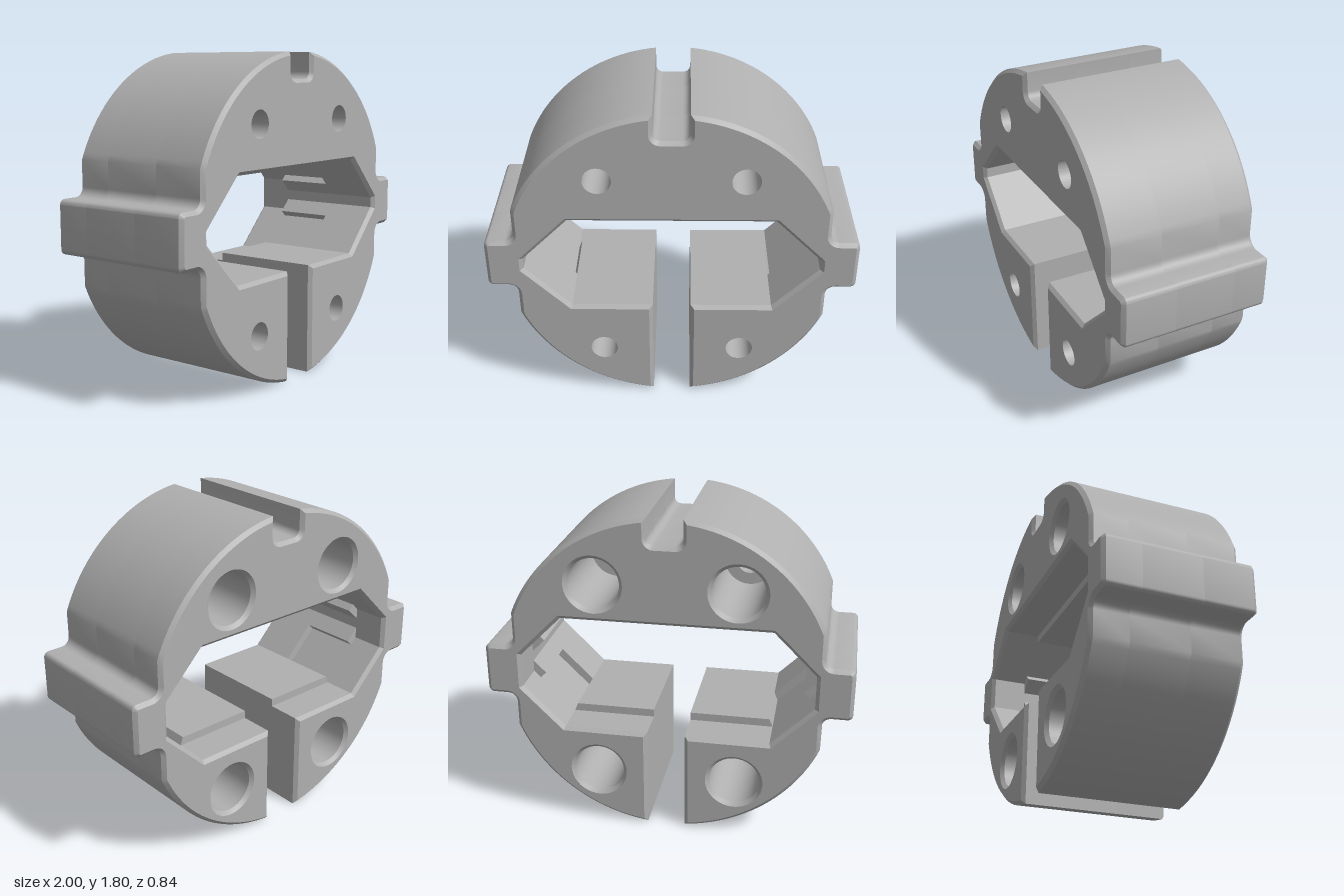
import * as THREE from 'three';
import { toCreasedNormals } from 'three/addons/utils/BufferGeometryUtils.js';

const V = (x, y) => new THREE.Vector2(x, y);
const CY = 0.9, R = 0.905, CHAMFER = 0.02;
// Depth stations from back to front
const BACK = -0.42, STEP = -0.21, SEAT = 0.12, FRONT = 0.42;

function arc(cx, cy, r, a0, a1, n) {
  return Array.from({ length: n + 1 }, (_, i) => {
    const a = a0 + (a1 - a0) * i / n;
    return V(cx + r * Math.cos(a), cy + r * Math.sin(a));
  });
}
const mirror = (pts) => pts.map((p) => V(-p.x, p.y));

// Right half of the outside, from the bottom gap up to the top keyway
function outerHalf() {
  const q = Math.PI / 2, flat = Math.acos(0.84 / R);
  return [
    ...arc(0, CY, R, -Math.acos(0.105 / R), -flat, 24),
    ...arc(0.89, 0.705, 0.05, 2 * q, q, 6),
    ...arc(0.97, 0.785, 0.03, -q, 0, 6),
    ...arc(0.97, 1.015, 0.03, 0, q, 6),
    ...arc(0.89, 1.095, 0.05, 3 * q, 2 * q, 6),
    ...arc(0, CY, R, flat, Math.acos(0.095 / R), 24),
    ...arc(0.055, 1.695, 0.04, 0, -q, 6),
  ];
}

// Full C-shaped outline; the lower right quarter of the window is mirrored both ways
function outline(quarter) {
  const outer = outerHalf();
  const upper = quarter.slice(1).reverse().map((p) => V(p.x, 2 * CY - p.y));
  const inner = [...quarter, ...upper];
  return [...outer, ...mirror(outer).reverse(), ...mirror(inner), ...inner.reverse()];
}

// Move a closed loop into the material (left of its direction) with mitred corners
function inset(loop, d) {
  const n = loop.length;
  return loop.map((p, i) => {
    const a = p.clone().sub(loop[(i + n - 1) % n]).normalize();
    const b = loop[(i + 1) % n].clone().sub(p).normalize();
    const k = d / (1 + a.dot(b));
    return V(p.x - (a.y + b.y) * k, p.y + (a.x + b.x) * k);
  });
}

// Strip of quads between two matching loops
function wall(out, l0, z0, l1, z1) {
  l0.forEach((a, i) => {
    const j = (i + 1) % l0.length, b = l0[j], c = l1[j], d = l1[i];
    out.push(a.x, a.y, z0, b.x, b.y, z0, c.x, c.y, z1);
    out.push(a.x, a.y, z0, c.x, c.y, z1, d.x, d.y, z1);
  });
}

// Flat face with holes, facing +z or -z
function cap(out, loop, holes, z, facing) {
  const pts = [loop, ...holes].flat();
  for (const f of THREE.ShapeUtils.triangulateShape(loop.slice(), holes.map((h) => h.slice()))) {
    for (const i of facing > 0 ? f : [f[0], f[2], f[1]]) out.push(pts[i].x, pts[i].y, z);
  }
}

// Screw holes run clockwise so that the material stays on their left
function holes(r) {
  return [[-1, 0.322], [1, 0.322], [-1, 1.43], [1, 1.43]].map(([s, y]) =>
    arc(s * 0.382, y, r, 0, -2 * Math.PI, 40).slice(0, -1));
}

export function createModel() {
  const group = new THREE.Group();
  group.name = 'splitClamp';
  const grey = new THREE.MeshStandardMaterial({ color: 0xb0b0b0 });
  grey.name = 'grey';
  function part(name, build) {
    const out = [];
    build(out);
    const g = new THREE.BufferGeometry();
    g.setAttribute('position', new THREE.Float32BufferAttribute(out, 3));
    const mesh = new THREE.Mesh(toCreasedNormals(g, 0.5), grey);
    mesh.name = name;
    group.add(mesh);
  }

  // Window profiles: plain at the front, slant pockets in the middle, wider at the back
  const front = outline([V(0.105, 0.62), V(0.55, 0.62), V(0.8, 0.87)]);
  const middle = outline([V(0.105, 0.62), V(0.55, 0.62), V(0.569, 0.575),
    V(0.762, 0.768), V(0.73, 0.8), V(0.8, 0.87)]);
  const back = outline([V(0.105, 0.575), V(0.569, 0.575), V(0.8, 0.806)]);
  const bore = holes(0.14), sink = holes(0.16), screw = holes(0.075);

  part('backSection', (o) => {
    const rim = inset(back, CHAMFER);
    cap(o, rim, sink, BACK, -1);
    wall(o, rim, BACK, back, BACK + CHAMFER);
    wall(o, back, BACK + CHAMFER, back, STEP);
  });

  part('middleSection', (o) => {
    cap(o, middle, bore, STEP, -1);
    wall(o, middle, STEP, middle, SEAT);
  });

  // The back of this section also forms the counterbore floors
  part('frontSection', (o) => {
    const rim = inset(front, CHAMFER);
    cap(o, front, screw, SEAT, -1);
    wall(o, front, SEAT, front, FRONT - CHAMFER);
    wall(o, front, FRONT - CHAMFER, rim, FRONT);
    cap(o, rim, screw, FRONT, 1);
  });

  part('screwHoles', (o) => {
    for (let i = 0; i < 4; i++) {
      wall(o, sink[i], BACK, bore[i], BACK + CHAMFER);
      wall(o, bore[i], BACK + CHAMFER, bore[i], SEAT);
      wall(o, screw[i], SEAT, screw[i], FRONT);
    }
  });

  return group;
}
